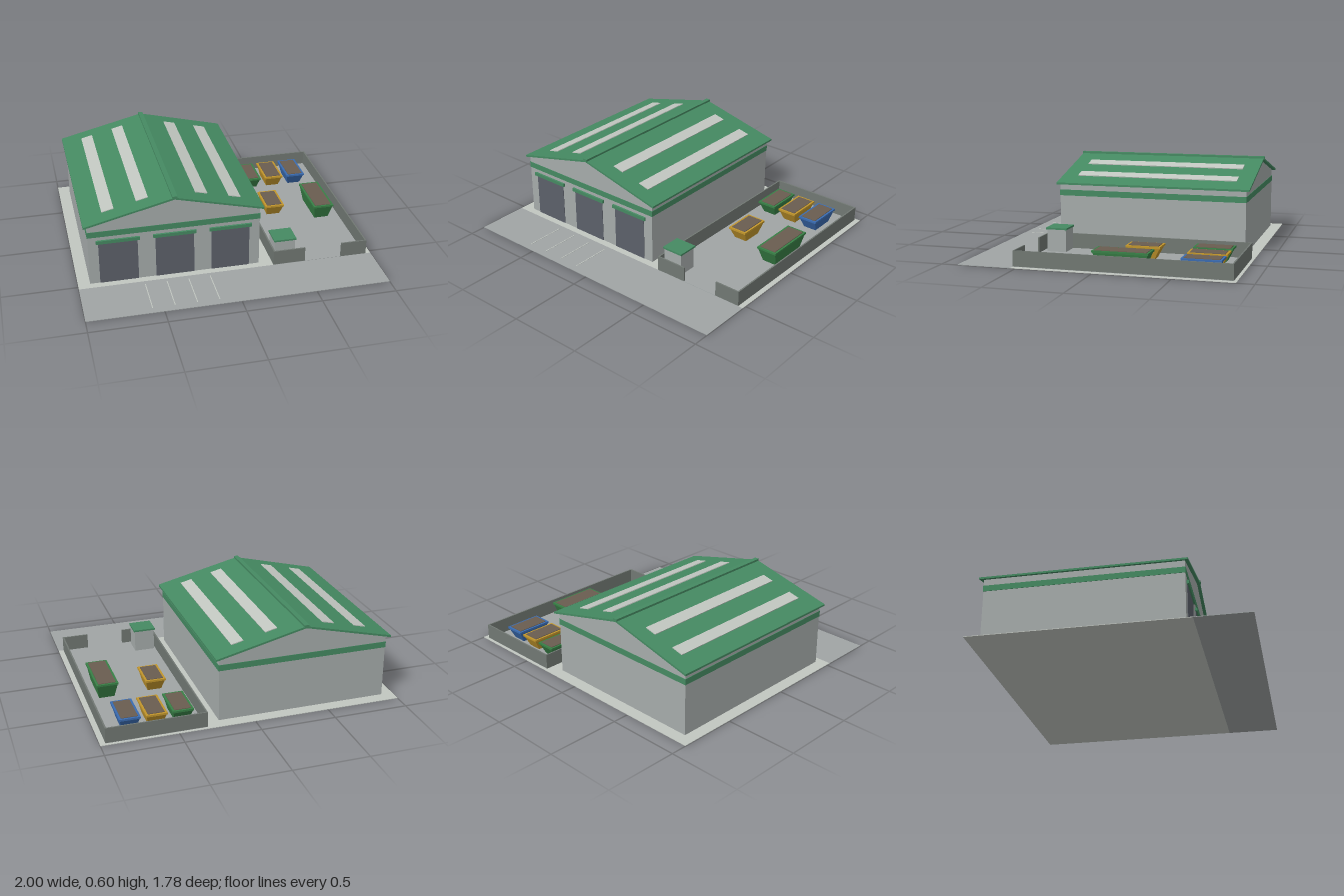
import * as THREE from 'three';

const mat = (name, color) => {
  const m = new THREE.MeshStandardMaterial({ color });
  m.name = name;
  return m;
};

export function createModel() {
  const M = {
    concrete: mat('pale concrete', 0xc2c7c1),
    asphalt: mat('asphalt', 0xa0a5a5),
    wall: mat('wall cladding', 0xa6acab),
    green: mat('roof green', 0x458a62),
    door: mat('door slate', 0x5c606a),
    yardWall: mat('yard wall grey', 0x717873),
    skipGreen: mat('skip green', 0x388046),
    yellow: mat('skip yellow', 0xc2962c),
    blue: mat('skip blue', 0x3a6cb2),
    waste: mat('waste brown', 0x6a5d50),
  };
  const model = new THREE.Group();
  model.name = 'recyclingDepot';

  const add = (parent, name, geo, material) => {
    const mesh = new THREE.Mesh(geo, material);
    mesh.name = name;
    parent.add(mesh);
    return mesh;
  };
  // Box given by its minimum and maximum on each axis
  const box = (parent, name, m, x0, x1, y0, y1, z0, z1) => {
    const mesh = add(parent, name, new THREE.BoxGeometry(x1 - x0, y1 - y0, z1 - z0), m);
    mesh.position.set((x0 + x1) / 2, (y0 + y1) / 2, (z0 + z1) / 2);
    return mesh;
  };
  const group = (name) => {
    const g = new THREE.Group();
    g.name = name;
    model.add(g);
    return g;
  };
  // Outline in x and y, extruded from z0 to z1
  const prism = (parent, name, m, pts, z0, z1) => {
    const shape = new THREE.Shape(pts.map(([x, y]) => new THREE.Vector2(x, y)));
    const geo = new THREE.ExtrudeGeometry(shape, { depth: z1 - z0, bevelEnabled: false });
    return add(parent, name, geo.translate(0, 0, z0), m);
  };

  // Ground: slab, front apron, yard paving, bay lines
  const site = group('site');
  box(site, 'slab', M.concrete, -1, 1, 0, 0.004, -0.89, 0.53);
  box(site, 'apron', M.asphalt, -1, 1, 0, 0.004, 0.53, 0.89);
  box(site, 'yardPaving', M.asphalt, 0.31, 0.965, 0.004, 0.006, -0.87, 0.53);
  for (const x of [-0.57, -0.425, -0.28, -0.135])
    box(site, 'bayLine', M.concrete, x - 0.003, x + 0.003, 0.004, 0.006, 0.565, 0.84);

  // Hall with gabled walls and a band all round
  const hall = group('hall');
  const ridgeX = -0.35, slope = 0.244, apex = 0.586, thick = 0.013;
  const roofY = (x) => apex - slope * Math.abs(x - ridgeX);
  const x0 = -0.92, x1 = 0.22, zBack = -0.81, zFront = 0.48;
  prism(hall, 'walls', M.wall, [
    [x0, 0.004], [x1, 0.004], [x1, roofY(x1) - thick], [ridgeX, apex - thick], [x0, roofY(x0) - thick],
  ], zBack, zFront);
  box(hall, 'band', M.green, x0 - 0.003, x1 + 0.003, 0.35, 0.39, zBack - 0.003, zFront + 0.003);

  // Roof, ridge cap and skylights
  const e0 = -0.945, e1 = 0.245;
  prism(hall, 'roof', M.green, [
    [e0, roofY(e0) - thick], [ridgeX, apex - thick], [e1, roofY(e1) - thick],
    [e1, roofY(e1)], [ridgeX, apex], [e0, roofY(e0)],
  ], -0.835, 0.5);
  box(hall, 'ridgeCap', M.green, ridgeX - 0.016, ridgeX + 0.016, 0.577, 0.596, -0.84, 0.503);
  for (const x of [-0.77, -0.545, -0.155, 0.07]) {
    const light = add(hall, 'skylight', new THREE.BoxGeometry(0.082, 0.009, 1.115), M.concrete);
    light.position.set(x, roofY(x) + 0.001, -0.168);
    light.rotation.z = (x < ridgeX ? 1 : -1) * Math.atan(slope);
  }

  // Three roller doors under canopies
  for (const x of [-0.725, -0.352, 0.022]) {
    box(hall, 'rollerDoor', M.door, x - 0.128, x + 0.128, 0.004, 0.305, zFront - 0.003, zFront + 0.003);
    box(hall, 'doorCanopy', M.green, x - 0.143, x + 0.143, 0.302, 0.325, zFront - 0.003, 0.494);
  }

  // Yard wall with a gap for the gateway
  const yard = group('yardWall');
  const h = 0.107, t = 0.01;
  box(yard, 'wallLeft', M.yardWall, 0.965 - t, 0.965, 0.004, h, -0.87, 0.53);
  box(yard, 'wallRight', M.yardWall, 0.31, 0.31 + t, 0.004, h, -0.87, 0.53);
  box(yard, 'wallBack', M.yardWall, 0.31 + t, 0.965 - t, 0.004, h, -0.87, -0.87 + t);
  box(yard, 'wallFrontRight', M.yardWall, 0.31 + t, 0.53, 0.004, h, 0.53 - t, 0.53);
  box(yard, 'wallFrontLeft', M.yardWall, 0.785, 0.965 - t, 0.004, h, 0.53 - t, 0.53);

  // Gatekeeper's booth
  const booth = group('booth');
  box(booth, 'boothWalls', M.wall, 0.33, 0.47, 0.004, 0.156, 0.355, 0.485);
  box(booth, 'boothRoof', M.green, 0.323, 0.477, 0.156, 0.168, 0.347, 0.493);

  // Skip: body tapering to its base, rim frame and waste inside
  const addSkip = (name, m, cx, cz, w, d, height) => {
    const skip = group(name);
    skip.position.set(cx, 0.006, cz);
    const bw = w - 0.008, bd = d - 0.008;
    const body = new THREE.BoxGeometry(bw, height - 0.01, bd);
    const p = body.attributes.position;
    for (let i = 0; i < p.count; i++) {
      if (p.getY(i) > 0) continue;
      p.setX(i, p.getX(i) * (1 - 0.036 / bw));
      p.setZ(i, p.getZ(i) * (1 - 0.08 / bd));
    }
    body.computeVertexNormals();
    add(skip, 'skipBody', body.translate(0, (height - 0.01) / 2, 0), m);

    const rect = (Type, a, b) => new Type([[-a, -b], [a, -b], [a, b], [-a, b]]
      .map(([x, y]) => new THREE.Vector2(x, y)));
    const rim = rect(THREE.Shape, w / 2, d / 2);
    rim.holes.push(rect(THREE.Path, w / 2 - 0.014, d / 2 - 0.014));
    const rimGeo = new THREE.ExtrudeGeometry(rim, { depth: 0.013, bevelEnabled: false });
    add(skip, 'skipRim', rimGeo.rotateX(-Math.PI / 2).translate(0, height - 0.013, 0), m);
    box(skip, 'waste', M.waste, 0.015 - w / 2, w / 2 - 0.015, height - 0.012, height + 0.003,
      0.015 - d / 2, d / 2 - 0.015);
  };
  addSkip('greenSkip', M.skipGreen, 0.441, -0.648, 0.138, 0.256, 0.09);
  addSkip('yellowSkip', M.yellow, 0.613, -0.648, 0.138, 0.256, 0.09);
  addSkip('blueSkip', M.blue, 0.785, -0.648, 0.138, 0.256, 0.09);
  addSkip('frontYellowSkip', M.yellow, 0.497, -0.203, 0.138, 0.23, 0.09);
  addSkip('largeGreenSkip', M.skipGreen, 0.825, -0.147, 0.146, 0.365, 0.115);

  return model;
}
